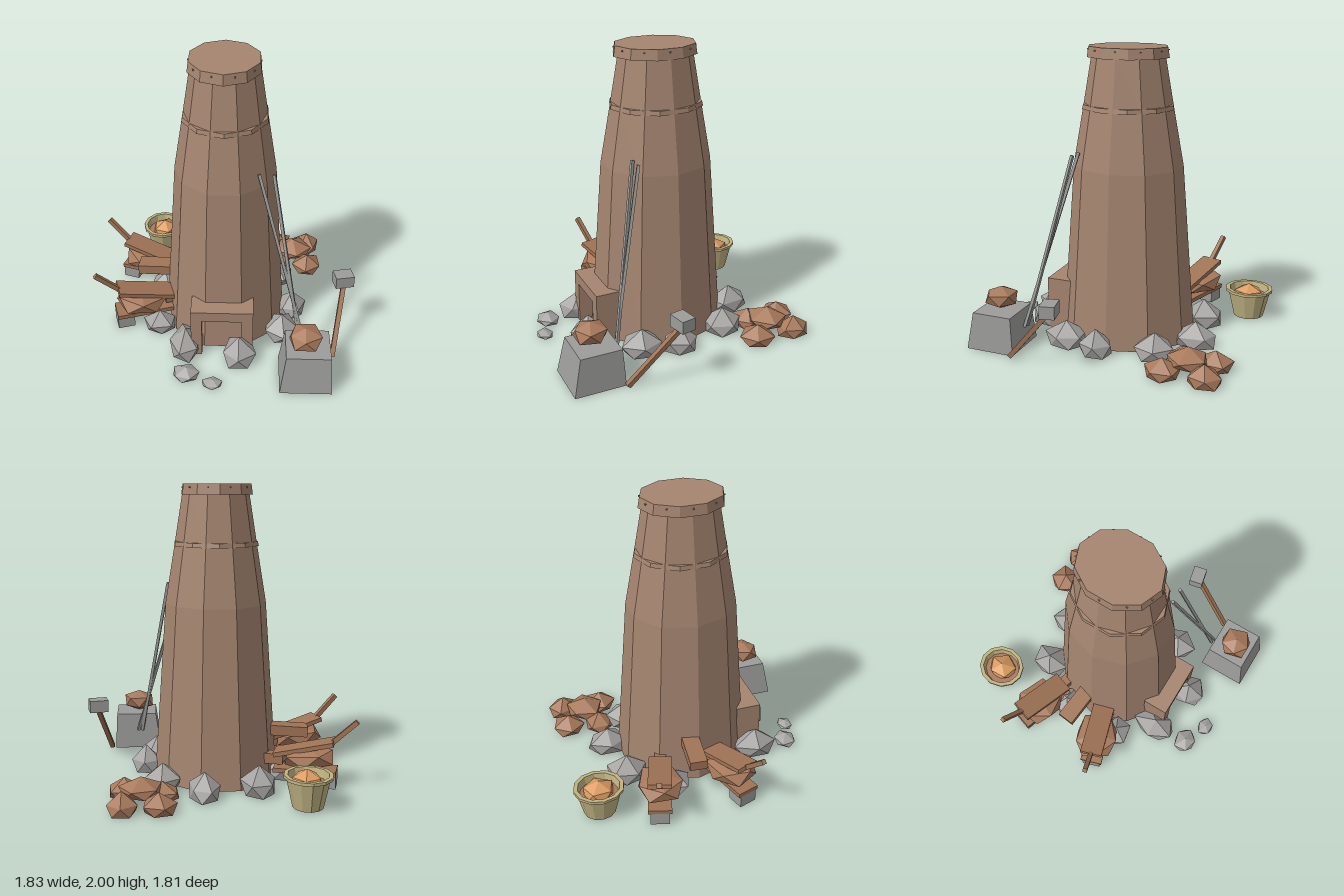
import * as THREE from 'three';

const paint = (name, color, extra = {}) => {
  const m = new THREE.MeshStandardMaterial({ color, ...extra });
  m.name = name;
  m.flatShading = true;
  return m;
};

export function createModel() {
  const clay = paint('clay', 0xa58570);
  const wood = paint('wood', 0xa07456);
  const ore = paint('ore', 0xa87a5c);
  const stone = paint('stone', 0xa5a4a1);
  const metal = paint('metal', 0x9c9c9a);
  const wicker = paint('wicker', 0xc0b382, { side: THREE.DoubleSide });
  const ember = paint('ember', 0xdc9c62);

  const root = new THREE.Group();
  root.name = 'smeltingFurnace';

  const add = (name, geo, mat, pos = [0, 0, 0], rot = [0, 0, 0], parent = root) => {
    const mesh = new THREE.Mesh(geo, mat);
    mesh.name = name;
    mesh.position.set(...pos);
    mesh.rotation.set(...rot);
    parent.add(mesh);
    return mesh;
  };
  const box = (w, h, d) => new THREE.BoxGeometry(w, h, d);

  // Faceted lump; flat ones rest on their base, full ones are centred
  const lump = (rx, ry, rz, turn, flat = true) => {
    const g = new THREE.IcosahedronGeometry(1, 0).rotateZ(0.5536).rotateY(turn);
    const p = g.attributes.position;
    for (let i = 0; i < p.count; i++) {
      let x = p.getX(i), y = p.getY(i), z = p.getZ(i);
      const j = 1.07 + 0.08 * Math.sin(x * 5 + z * 3 + turn * 7);
      const low = flat && y < 0;
      const k = j * (low ? 0.88 : 1);
      p.setXYZ(i, x * k * rx, (low ? 0 : y) * ry, z * k * rz);
    }
    g.computeVertexNormals();
    return g;
  };

  // Square bar between two points
  const bar = (name, a, b, t, mat, parent = root) => {
    const from = new THREE.Vector3(...a), to = new THREE.Vector3(...b);
    const m = add(name, box(t, from.distanceTo(to), t), mat, [0, 0, 0], [0, 0, 0], parent);
    m.position.copy(from).add(to).multiplyScalar(0.5);
    m.quaternion.setFromUnitVectors(new THREE.Vector3(0, 1, 0), to.sub(from).normalize());
    return m;
  };

  // Ten-sided tower, slightly deeper than wide
  const tower = new THREE.Group();
  tower.name = 'tower';
  tower.position.z = 0.015;
  tower.scale.z = 1.1;
  root.add(tower);
  const profile = [[0, 0], [0.428, 0], [0.345, 1.2], [0.28, 1.6], [0.225, 1.95], [0, 1.95]]
    .map(([x, y]) => new THREE.Vector2(x, y));
  add('shaft', new THREE.LatheGeometry(profile, 10, Math.PI / 10), clay, [0, 0, 0], [0, 0, 0], tower);
  add('band', new THREE.CylinderGeometry(0.289, 0.295, 0.03, 10), clay, [0, 1.605, 0], [0, 0, 0], tower);
  const cap = add('cap', new THREE.CylinderGeometry(0.237, 0.247, 0.07, 10), clay, [-0.005, 1.965, 0.003], [0, 0, 0], tower);
  cap.scale.z = 1.07;
  // Small rivets round the cap
  for (let i = 0; i < 10; i++) {
    const a = (i + 0.5) * Math.PI / 5;
    add('rivet', box(0.008, 0.008, 0.012), clay, [Math.sin(a) * 0.231, 0.012, Math.cos(a) * 0.231], [0, a, 0], cap);
  }

  // Furnace mouth: a frame with an open doorway
  const frame = new THREE.Shape();
  [[-0.22, 0], [-0.145, 0], [-0.145, 0.295], [0.125, 0.295], [0.125, 0], [0.205, 0], [0.205, 0.37], [-0.22, 0.37]]
    .forEach(([x, y], i) => (i ? frame.lineTo(x, y) : frame.moveTo(x, y)));
  add('furnaceMouth', new THREE.ExtrudeGeometry(frame, { depth: 0.18, bevelEnabled: false }), clay, [0, 0, 0.37]);

  // Stones round the foot: x, z, half width, height, half depth, turn
  [
    [-0.25, -0.47, 0.125, 0.19, 0.155, 0.4], [0.11, -0.52, 0.115, 0.17, 0.16, 1.3],
    [0.38, -0.32, 0.135, 0.17, 0.145, 2.1], [0.49, 0.06, 0.11, 0.18, 0.125, 0.8],
    [0.41, 0.31, 0.13, 0.17, 0.155, 1.7], [0.11, 0.58, 0.125, 0.19, 0.145, 0.3],
    [-0.26, 0.5, 0.115, 0.19, 0.17, 2.5], [-0.46, 0.27, 0.125, 0.15, 0.11, 1.1],
    [-0.46, -0.18, 0.12, 0.15, 0.11, 0.6], [-0.24, 0.76, 0.1, 0.075, 0.085, 1.9],
    [-0.06, 0.84, 0.075, 0.045, 0.06, 0.9],
  ].forEach(([x, z, w, h, d, t]) => add('footStone', lump(w, h, d, t), stone, [x, 0, z]));

  // Ore heap
  [
    [0.41, -0.75, 0.115, 0.13, 0.12], [0.64, -0.74, 0.105, 0.14, 0.125],
    [0.39, -0.52, 0.125, 0.12, 0.11], [0.63, -0.46, 0.12, 0.13, 0.125],
  ].forEach(([x, z, w, h, d], i) => add('oreChunk', lump(w, h, d, i * 0.9), ore, [x, 0, z]));
  add('oreTop', lump(0.145, 0.12, 0.14, 0.5), ore, [0.52, 0.06, -0.6]);

  // Two bellows, mirrored about the air duct
  [[-0.325, -0.31], [0.175, 0.31]].forEach(([z, yaw]) => {
    const b = new THREE.Group();
    b.name = 'bellows';
    b.position.set(-0.58, 0, z);
    b.rotation.y = yaw;
    root.add(b);
    add('footBlock', box(0.12, 0.09, 0.13), metal, [-0.15, 0.045, 0], [0, 0, 0], b);
    add('lowerBoard', box(0.42, 0.03, 0.16), wood, [0, 0.105, 0], [0, 0, 0], b);
    add('bag', lump(0.185, 0.085, 0.165, 0.2, false), ore, [-0.02, 0.19, 0], [0, 0, -0.1], b);
    add('upperBoard', box(0.41, 0.03, 0.16), wood, [0.01, 0.258, 0], [0, 0, -0.24], b);
    bar('handle', [-0.34, 0.455, 0], [-0.17, 0.295, 0], 0.032, wood, b);
    add('nozzle', box(0.14, 0.07, 0.08), wood, [0.22, 0.17, 0], [0, 0, 0], b);
  });
  add('airDuct', box(0.27, 0.07, 0.12), wood, [-0.5, 0.305, -0.055], [0, -0.1, 0.06]);

  // Basket with glowing load
  const basket = new THREE.Group();
  basket.name = 'basket';
  basket.position.set(-0.525, 0, -0.735);
  basket.scale.z = 1.09;
  root.add(basket);
  const wall = [[0, 0.005], [0.1, 0.005], [0.142, 0.195], [0.158, 0.195], [0.158, 0.215], [0.132, 0.215], [0.115, 0.13]]
    .map(([x, y]) => new THREE.Vector2(x, y));
  add('basketWall', new THREE.LatheGeometry(wall, 12), wicker, [0, 0, 0], [0, 0, 0], basket);
  add('basketFill', new THREE.CylinderGeometry(0.123, 0.115, 0.02, 12), ore, [0, 0.15, 0], [0, 0, 0], basket);
  add('emberLump', lump(0.098, 0.09, 0.1, 0.7, false), ember, [0.01, 0.16, 0], [0, 0, 0], basket);

  // Anvil block, sloping mostly at the front and left
  const block = box(0.345, 0.26, 0.345);
  const p = block.attributes.position;
  for (let i = 0; i < p.count; i++) {
    if (p.getY(i) > 0) {
      p.setX(i, p.getX(i) > 0 ? 0.16 : -0.135);
      p.setZ(i, p.getZ(i) > 0 ? 0.125 : -0.155);
    }
  }
  block.computeVertexNormals();
  add('anvilBlock', block, metal, [0.557, 0.13, 0.73]);
  add('anvilOre', lump(0.115, 0.078, 0.115, 0.3, false), ore, [0.548, 0.332, 0.725]);

  // Hammer and a pair of long rods
  bar('hammerHandle', [0.755, 0.015, 0.56], [0.84, 0.41, 0.22], 0.032, wood);
  add('hammerHead', box(0.13, 0.085, 0.1), metal, [0.833, 0.43, 0.22], [0, 0.2, 0]);
  bar('rod', [0.225, 1.305, 0.285], [0.555, 0.14, 0.555], 0.02, metal);
  bar('rod', [0.322, 1.305, 0.285], [0.525, 0.14, 0.55], 0.02, metal);

  return root;
}
